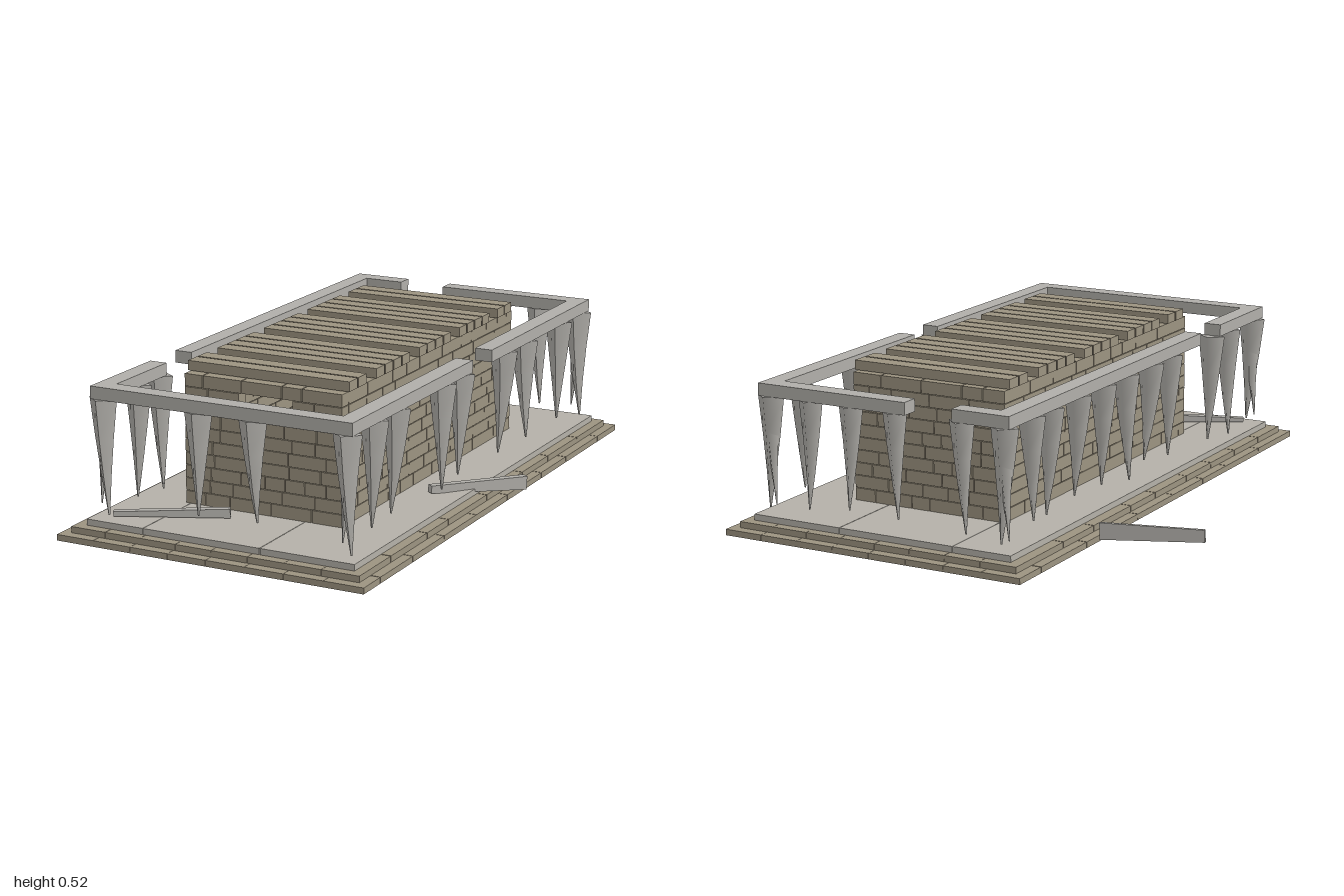
import * as THREE from 'three';
import { mergeGeometries } from 'three/addons/utils/BufferGeometryUtils.js';

export function createModel() {
  const model = new THREE.Group();
  const brick = new THREE.MeshStandardMaterial({ color: 0x9c9380 });
  brick.name = 'sandy brick';
  const slab = new THREE.MeshStandardMaterial({ color: 0xb4b0a8 });
  slab.name = 'pale floor stone';
  const stone = new THREE.MeshStandardMaterial({ color: 0xb0aea9, side: THREE.DoubleSide });
  stone.name = 'grey stone';

  let seed = 7;
  const rand = () => (seed = (seed * 16807) % 2147483647) / 2147483647;

  const add = (geometry, material, name) => {
    const mesh = new THREE.Mesh(geometry, material);
    mesh.name = name;
    model.add(mesh);
    return mesh;
  };
  // Box given by its limits
  const box = (x0, x1, y0, y1, z0, z1) =>
    new THREE.BoxGeometry(x1 - x0, y1 - y0, z1 - z0)
      .translate((x0 + x1) / 2, (y0 + y1) / 2, (z0 + z1) / 2);
  // Cut a span into bricks of uneven length
  const cut = (a, b, size) => {
    const spans = [];
    let s = a;
    while (s < b - 0.001) {
      let e = s + size * (0.6 + 0.8 * rand());
      if (e > b - size * 0.4) e = b;
      spans.push([s, e - (e === b ? 0 : 0.003)]);
      s = e;
    }
    return spans;
  };

  // Two brick steps under the floor, laid in rows
  const step = (x0, x1, y0, y1, z, name) => {
    const parts = [];
    const rows = 8, w = (x1 - x0) / rows;
    for (let i = 0; i < rows; i++) {
      for (const [a, b] of cut(-z, z, 0.22)) {
        parts.push(box(x0 + i * w, x0 + (i + 1) * w - (i < rows - 1 ? 0.001 : 0), y0, y1, a, b));
      }
    }
    add(mergeGeometries(parts), brick, name);
  };
  step(-0.382, 0.692, 0, 0.02, 1, 'lowerStep');
  step(-0.35, 0.66, 0.0205, 0.041, 0.966, 'upperStep');

  // Floor in three long slabs
  [[-0.313, -0.109], [-0.107, 0.304], [0.306, 0.627]].forEach(([a, b]) =>
    add(box(a, b, 0.0415, 0.062, -0.933, 0.933), slab, 'floorSlab'));

  // Brick tomb walls, ten courses high
  const wall = (name, a, b, size, place, hole) => {
    const parts = [], h = 0.0428;
    for (let c = 0; c < 10; c++) {
      const y = 0.062 + c * h;
      const runs = hole && c === hole.course ? [[a, hole.from], [hole.to, b]] : [[a, b]];
      for (const [s, e] of runs) {
        for (const [p, q] of cut(s, e, size)) parts.push(place(p, q, y, y + h - 0.002));
      }
    }
    add(mergeGeometries(parts), brick, name);
  };
  const side = (x0, x1) => (a, b, y0, y1) => box(x0, x1, y0, y1, a, b);
  const end = (z0, z1) => (a, b, y0, y1) => box(a, b, y0, y1, z0, z1);
  wall('rightWall', -0.595, 0.595, 0.13, side(-0.125, -0.08));
  wall('leftWall', -0.595, 0.595, 0.13, side(0.388, 0.433));
  wall('backWall', -0.125, 0.433, 0.11, end(-0.64, -0.596));
  wall('frontWall', -0.125, 0.433, 0.11, end(0.596, 0.64), { course: 8, from: 0.07, to: 0.26 });

  // Lid slats in groups, with missing ones between
  for (let i = 0; i < 20; i++) {
    if (i % 5 === 2) continue;
    const z = -0.618 + i * 0.0616;
    add(box(-0.132, 0.441, 0.49, 0.522, z, z + 0.055), brick, 'lidSlat');
  }

  // Broken handrail
  const rail = (x0, x1, z0, z1, name) => add(box(x0, x1, 0.449, 0.49, z0, z1), stone, name);
  rail(-0.3, 0.61, 0.857, 0.917, 'frontRail');
  rail(-0.3, -0.1, -0.917, -0.857, 'backRail');
  rail(0.067, 0.61, -0.917, -0.857, 'backRail');
  rail(-0.3, -0.24, -0.857, 0.405, 'rightRail');
  rail(-0.3, -0.24, 0.56, 0.857, 'rightRail');
  rail(0.55, 0.61, -0.857, -0.08, 'leftRail');
  rail(0.55, 0.61, 0.07, 0.857, 'leftRail');

  // Hanging splinters: hollow-backed spikes tapering to a bent tip
  const spike = (x, z, wx, wz, tipX, tipZ, tipY) => {
    const g = new THREE.CylinderGeometry(1, 0.06, 1, 4, 3, false);
    const p = g.attributes.position;
    for (let i = 0; i < p.count; i++) {
      const t = 0.5 - p.getY(i);
      const bend = t * t;
      p.setXYZ(i, x + p.getX(i) * wx / 2 + tipX * bend,
        0.449 - t * (0.449 - tipY),
        z + p.getZ(i) * wz / 2 + tipZ * bend);
    }
    g.computeVertexNormals();
    add(g, stone, 'splinter');
  };
  const jitter = (r) => (rand() - 0.5) * r;
  const low = () => 0.07 + rand() * 0.05;
  [0.07, 0.26].forEach((x) => spike(x, 0.89, 0.1, 0.08, jitter(0.02), jitter(0.03), low()));
  [-0.12, 0.12, 0.28, 0.43].forEach((x) => spike(x, -0.89, 0.09, 0.08, jitter(0.03), jitter(0.03), low()));
  [-0.72, -0.6, -0.42, -0.25, -0.09, 0.09, 0.23, 0.56, 0.69].forEach((z) =>
    spike(-0.267, z, 0.1, 0.07, jitter(0.05), jitter(0.03), low()));
  [-0.72, -0.42, -0.25, 0.09, 0.23, 0.56, 0.71].forEach((z) =>
    spike(0.578, z, 0.1, 0.07, jitter(0.05), jitter(0.03), low()));
  for (const x of [-0.27, 0.58]) {
    for (const z of [-0.89, 0.89]) {
      spike(x, z, 0.1, 0.09, 0.02, 0.01, 0.075);
      spike(x, z, 0.07, 0.07, -0.025, -0.02, 0.1);
    }
  }

  // Fallen shards: tapered slivers between two points
  const shard = (a, b, h0, h1, w, name) => {
    const from = new THREE.Vector3(...a), to = new THREE.Vector3(...b);
    const g = new THREE.BoxGeometry(w, 1, from.distanceTo(to));
    const p = g.attributes.position;
    for (let i = 0; i < p.count; i++) p.setY(i, p.getY(i) * (p.getZ(i) < 0 ? h0 : h1));
    g.computeVertexNormals();
    const mesh = add(g, stone, name);
    mesh.position.copy(from).add(to).multiplyScalar(0.5);
    mesh.lookAt(to);
  };
  shard([-0.75, 0.07, -0.49], [-0.42, 0.058, -0.56], 0.04, 0.055, 0.012, 'farShard');
  shard([-0.25, 0.075, 0.875], [0.08, 0.08, 0.715], 0.015, 0.03, 0.025, 'frontShard');
  shard([0.52, 0.078, 0.19], [0.735, 0.058, -0.085], 0.025, 0.045, 0.025, 'sideShard');

  return model;
}
